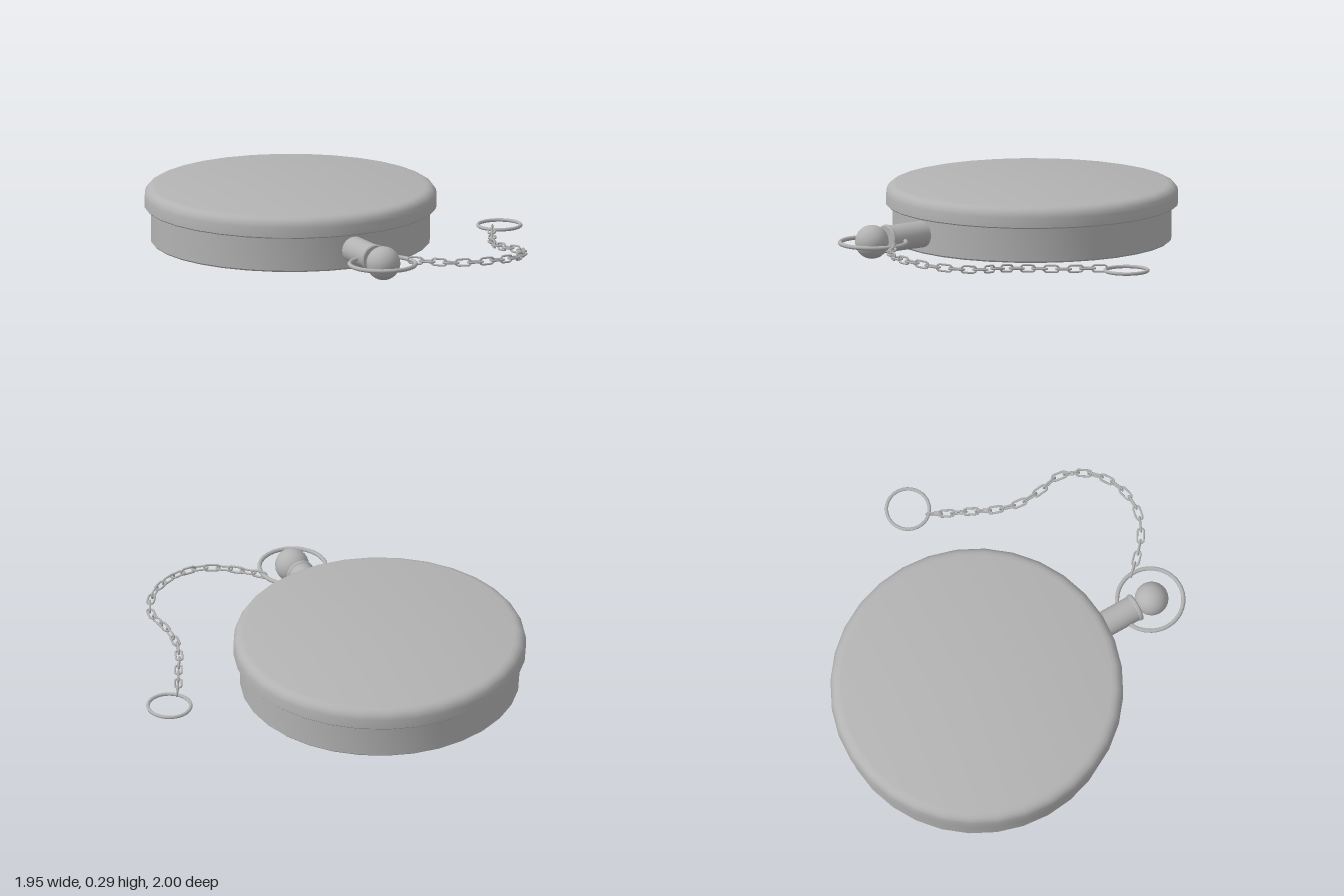
import * as THREE from 'three';
import { toCreasedNormals } from 'three/addons/utils/BufferGeometryUtils.js';

const CX = -0.23, CZ = -0.25, SIDES = 32, MID_Y = 0.102;

// Closed stadium path of one chain link, long axis on x, lying in the xz plane
class LinkCurve extends THREE.Curve {
  constructor(halfLength, radius) {
    super();
    this.half = halfLength - radius;
    this.radius = radius;
  }
  getPoint(t, target = new THREE.Vector3()) {
    const a = t * Math.PI * 2;
    const shift = THREE.MathUtils.clamp(Math.cos(a) * 4, -1, 1) * this.half;
    return target.set(Math.cos(a) * this.radius + shift, 0, Math.sin(a) * this.radius);
  }
}

export function createModel() {
  const model = new THREE.Group();
  model.name = 'roundTinWithChain';
  const metal = new THREE.MeshStandardMaterial({ color: 0xb2b2b2 });
  metal.name = 'grey metal';

  const add = (name, geometry, x, y, z, parent = model) => {
    const mesh = new THREE.Mesh(geometry, metal);
    mesh.name = name;
    mesh.position.set(x, y, z);
    parent.add(mesh);
    return mesh;
  };
  const lathe = (profile, sides) => toCreasedNormals(
    new THREE.LatheGeometry(profile.map(([r, y]) => new THREE.Vector2(r, y)), sides), 0.6);

  // Round body and overhanging lid with a rounded shoulder
  add('body', lathe([[0, 0.004], [0.708, 0.004], [0.716, 0.012], [0.716, 0.2]], SIDES), CX, 0, CZ);
  add('lid', lathe([
    [0, 0.187], [0.744, 0.187], [0.75, 0.193], [0.75, 0.243], [0.745, 0.264],
    [0.733, 0.281], [0.716, 0.291], [0.695, 0.296], [0, 0.296],
  ], SIDES), CX, 0, CZ);

  // Neck pointing forward, with a lip at its end and a ball stopper
  const neck = add('neck', lathe([
    [0.068, 0], [0.068, 0.235], [0.074, 0.241], [0.074, 0.252], [0.068, 0.257], [0, 0.257],
  ], 24), CX, MID_Y + 0.004, 0.445);
  neck.rotation.x = Math.PI / 2;
  add('ballStopper', new THREE.SphereGeometry(0.087, 24, 16), CX, MID_Y, 0.79);

  // Rings at both ends of the chain
  const ring = (name, radius, tube, x, y, z) => {
    add(name, new THREE.TorusGeometry(radius, tube, 10, 40), x, y, z).rotation.x = Math.PI / 2;
  };
  ring('neckRing', 0.17, 0.011, CX, 0.097, 0.782);
  ring('endRing', 0.11, 0.009, 0.852, 0.018, -0.018);

  // Chain: alternately flat and upright links along a sagging path
  const path = new THREE.CatmullRomCurve3([
    [-0.045, 0.097, 0.79], [-0.01, 0.097, 0.828], [0.09, 0.097, 0.915], [0.205, 0.099, 0.968],
    [0.325, 0.097, 0.97], [0.445, 0.087, 0.93], [0.54, 0.077, 0.848], [0.595, 0.068, 0.73],
    [0.58, 0.058, 0.605], [0.58, 0.045, 0.48], [0.616, 0.035, 0.36], [0.675, 0.029, 0.245],
    [0.733, 0.028, 0.127], [0.758, 0.026, 0.083],
  ].map((p) => new THREE.Vector3(...p)));
  const linkGeometry = new THREE.TubeGeometry(new LinkCurve(0.04, 0.017), 28, 0.0055, 6, true);
  const chain = new THREE.Group();
  chain.name = 'chain';
  model.add(chain);
  const count = 25;
  for (let i = 0; i < count; i++) {
    const p = path.getPointAt(i / (count - 1));
    const along = path.getTangentAt(i / (count - 1));
    const side = new THREE.Vector3().crossVectors(along, new THREE.Vector3(0, 1, 0)).normalize();
    const up = new THREE.Vector3().crossVectors(side, along);
    const link = add('chainLink', linkGeometry, p.x, p.y, p.z, chain);
    const basis = new THREE.Matrix4();
    if (i % 2) basis.makeBasis(along, up, side);
    else basis.makeBasis(along, side.negate(), up);
    link.quaternion.setFromRotationMatrix(basis);
  }
  return model;
}
